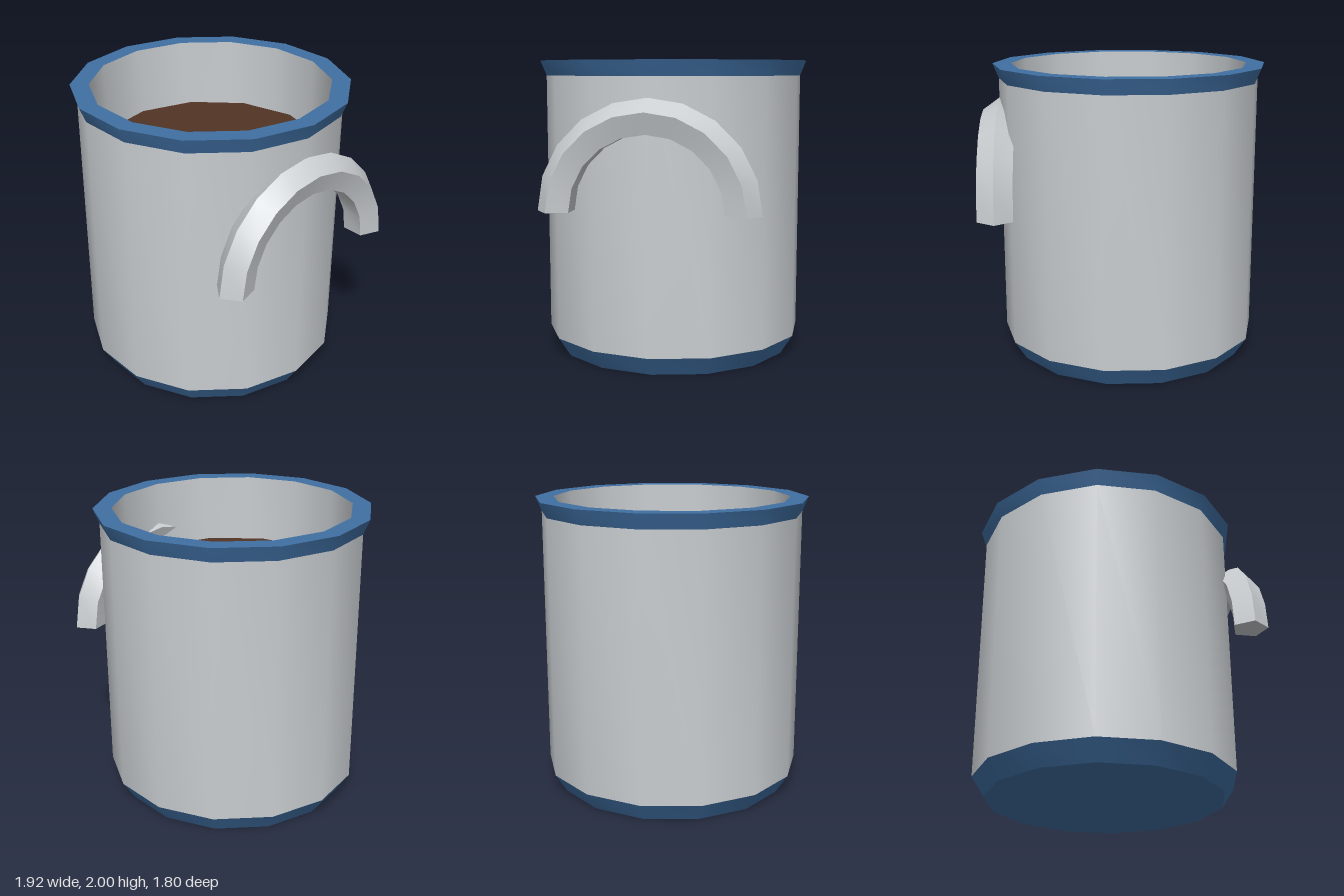
import * as THREE from 'three';
import { toCreasedNormals } from 'three/addons/utils/BufferGeometryUtils.js';

const SIDES = 14;
const CREASE = 0.55;

export function createModel() {
  const mug = new THREE.Group();
  mug.name = 'mug';

  const enamel = new THREE.MeshStandardMaterial({ color: 0xc9cdd0 });
  enamel.name = 'pale grey enamel';
  const trim = new THREE.MeshStandardMaterial({ color: 0x4070a4 });
  trim.name = 'blue trim';
  const coffee = new THREE.MeshStandardMaterial({ color: 0x523324 });
  coffee.name = 'coffee brown';

  const add = (parent, name, geometry, material) => {
    const mesh = new THREE.Mesh(geometry, material);
    mesh.name = name;
    parent.add(mesh);
    return mesh;
  };

  // Turned parts share one axis, with a corner pointing along x
  const cup = new THREE.Group();
  cup.name = 'cup';
  cup.position.x = -0.04;
  mug.add(cup);
  const turned = (name, profile, material) => {
    const points = profile.map(([r, y]) => new THREE.Vector2(r, y));
    const geometry = new THREE.LatheGeometry(points, SIDES).rotateY(Math.PI / 2);
    add(cup, name, toCreasedNormals(geometry, CREASE), material);
  };
  turned('base', [[0, 0], [0.8, 0], [0.883, 0.13]], trim);
  turned('outerWall', [[0.883, 0.13], [0.883, 1.9]], enamel);
  turned('rim', [[0.883, 1.9], [0.924, 2], [0.8, 2]], trim);
  turned('innerWall', [[0.8, 2], [0.782, 0.14], [0, 0.14]], enamel);

  // Twelve-sided drink surface
  const drink = add(cup, 'drink', new THREE.CircleGeometry(0.757, 12).rotateX(-Math.PI / 2), coffee);
  drink.position.y = 1.55;

  // Half-ring handle with a pentagonal section and closed ends
  const handle = new THREE.Group();
  handle.name = 'handle';
  handle.position.set(0.84, 1.06, 0);
  handle.rotation.y = Math.PI / 2;
  mug.add(handle);
  const R = 0.588, r = 0.122;
  add(handle, 'handleArch', toCreasedNormals(new THREE.TorusGeometry(R, r, 5, 10, Math.PI), CREASE), enamel);
  for (const side of [1, -1]) {
    const start = side > 0 ? 0 : Math.PI;
    const end = add(handle, 'handleEnd', new THREE.CircleGeometry(r, 5, start).rotateX(Math.PI / 2), enamel);
    end.position.x = side * R;
  }

  return mug;
}
